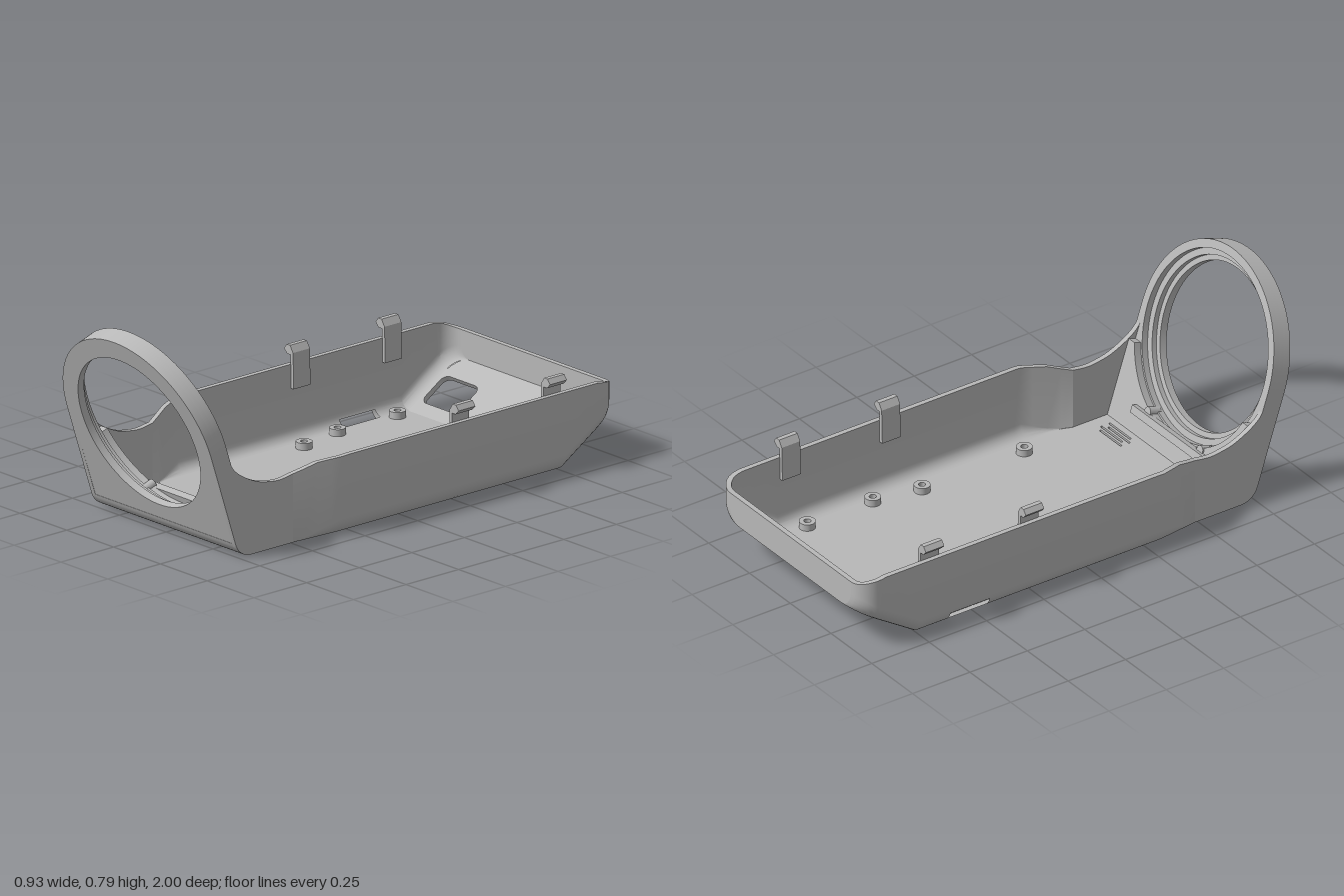
import * as THREE from 'three';
import { toCreasedNormals } from 'three/addons/utils/BufferGeometryUtils.js';

const T = 0.02;        // wall thickness
const LEAN = 0.322;    // forward lean of the ring plate
const SLOPE = Math.atan2(0.16, 0.25); // rising rear floor

const grey = new THREE.MeshStandardMaterial({ color: 0xb8b8b8, side: THREE.DoubleSide });
grey.name = 'grey plastic';

const V = (x, y) => new THREE.Vector2(x, y);

function add(parent, name, geometry, x = 0, y = 0, z = 0) {
  const mesh = new THREE.Mesh(geometry, grey);
  mesh.name = name;
  mesh.position.set(x, y, z);
  parent.add(mesh);
  return mesh;
}

function extrude(shape, depth, curveSegments = 12) {
  const g = new THREE.ExtrudeGeometry(shape, { depth, bevelEnabled: false, curveSegments });
  return toCreasedNormals(g, 0.3);
}

function circle(x, y, r) {
  return new THREE.Path().absarc(x, y, r, 0, Math.PI * 2, true);
}

function roundedRect(x0, y0, x1, y1, r) {
  const p = new THREE.Path();
  p.absarc(x0 + r, y0 + r, r, Math.PI, Math.PI * 1.5);
  p.absarc(x1 - r, y0 + r, r, Math.PI * 1.5, Math.PI * 2);
  p.absarc(x1 - r, y1 - r, r, 0, Math.PI / 2);
  p.absarc(x0 + r, y1 - r, r, Math.PI / 2, Math.PI);
  p.closePath();
  return p;
}

// Height of the rim and of the underside along the length
const rimPoints = [[-1, 0.276], [-0.96, 0.29], [-0.9, 0.3], [0.3, 0.3], [0.4, 0.288], [0.45, 0.27], [0.49, 0.257]];
function rimY(z) {
  let i = 0;
  while (i < rimPoints.length - 2 && z > rimPoints[i + 1][0]) i++;
  const [a, b] = [rimPoints[i], rimPoints[i + 1]];
  return THREE.MathUtils.mapLinear(z, a[0], b[0], a[1], b[1]);
}
const baseY = z => Math.max(0, (-0.75 - z) * 0.64);

// Half section from the inner floor edge up to the rim
function halfSection(z, w, r, base, top) {
  const pts = [];
  for (let i = 0; i <= 6; i++) {
    const a = (i / 6) * Math.PI / 2;
    pts.push(new THREE.Vector3(w - r + r * Math.sin(a), base + r - r * Math.cos(a), z));
  }
  pts.push(new THREE.Vector3(w, top, z));
  return pts;
}

// Stations along the tray: straight sides, then the rounded rear corners
function stations() {
  const list = [0.49, 0.45, 0.4, 0.35, 0.31, 0.28, -0.45, -0.62, -0.75, -0.85, -0.9].map(z => {
    const w = 0.385 + 0.065 * THREE.MathUtils.clamp((0.49 - z) / 0.18, 0, 1);
    return { zo: z, zi: z, wo: w, wi: w - T, r: Math.max(w - 0.385, 0.002) };
  });
  for (let i = 0; i <= 7; i++) {
    const a = (i / 7) * Math.PI / 2, c = Math.cos(a), s = Math.sin(a);
    list.push({ zo: -0.92 - 0.08 * s, zi: -0.92 - 0.06 * s, wo: 0.37 + 0.08 * c, wi: 0.37 + 0.06 * c, r: 0.065 });
  }
  return list.map(q => {
    const top = rimY(q.zo), bend = q.zi < -0.75 ? T / Math.cos(SLOPE) : T;
    const outer = halfSection(q.zo, q.wo, q.r, baseY(q.zo), top);
    const inner = halfSection(q.zi, q.wi, Math.max(q.r - T, 0.002), baseY(q.zi) + bend, top);
    return { outer, inner, z: q.zo };
  });
}

// Side wall lofted through the stations, outer face, rim and inner face
function wallGeometry(list, side) {
  const pos = [];
  const put = p => pos.push(p.x * side, p.y, p.z);
  const rows = list.map(s => [...s.outer, ...s.inner.slice().reverse()]);
  for (let i = 0; i < rows.length - 1; i++) {
    for (let j = 0; j < rows[i].length - 1; j++) {
      // Low slot in the right wall
      const slot = side < 0 && list[i].z === -0.45 && [2, 3, 4, 11, 12, 13].includes(j);
      if (slot) continue;
      const a = rows[i][j], b = rows[i][j + 1], c = rows[i + 1][j + 1], d = rows[i + 1][j];
      (side > 0 ? [a, d, c, a, c, b] : [a, c, d, a, b, c]).forEach(put);
    }
  }
  const g = new THREE.BufferGeometry();
  g.setAttribute('position', new THREE.Float32BufferAttribute(pos, 3));
  return toCreasedNormals(g, 0.4);
}

function buildTray(model) {
  const list = stations(), last = list[list.length - 1];
  for (const side of [1, -1]) add(model, side > 0 ? 'leftWall' : 'rightWall', wallGeometry(list, side));

  // Rear wall: outer face, inner face and rim
  for (const [name, half] of [['rearWallOuter', last.outer], ['rearWallInner', last.inner]]) {
    const pts = half.map(p => V(p.x, p.y));
    const outline = [...pts, ...pts.slice().reverse().map(p => V(-p.x, p.y))];
    const g = new THREE.ShapeGeometry(new THREE.Shape(outline));
    if (name === 'rearWallOuter') g.rotateY(Math.PI);
    add(model, name, g, 0, 0, half[0].z);
  }
  add(model, 'rearRim', new THREE.BoxGeometry(0.74, 0.004, T), 0, 0.274, -0.99);

  // Flat floor with screw holes and vent slots
  const screws = [[0.36, -0.67], [0.36, -0.385], [0.325, -0.195], [0.325, 0.25]];
  const floor = new THREE.Shape([V(-0.385, -0.64), V(0.385, -0.64), V(0.385, 0.75), V(-0.385, 0.75)]);
  const boss = new THREE.Shape().absarc(0, 0, 0.03, 0, Math.PI * 2);
  boss.holes.push(circle(0, 0, 0.013));
  const bossGeometry = extrude(boss, 0.028).rotateX(-Math.PI / 2);
  for (const side of [1, -1]) {
    for (const [x, z] of screws) {
      floor.holes.push(circle(x * side, -z, 0.013));
      add(model, 'screwBoss', bossGeometry, x * side, T - 0.002, z);
    }
    for (let i = 0; i < 4; i++) {
      const x = 0.235 * side + (i % 2 ? 0.012 : -0.008), z = 0.557 + i * 0.018;
      floor.holes.push(roundedRect(x - 0.065, -z - 0.004, x + 0.065, -z + 0.004, 0.0035));
    }
  }
  add(model, 'floor', extrude(floor, T)).rotation.x = -Math.PI / 2;

  // Rising rear floor with a cable window
  const k = 1 / Math.cos(SLOPE), edge = [V(0.385, 0)];
  for (let i = 0; i <= 7; i++) {
    const a = (i / 7) * Math.PI / 2;
    edge.push(V(0.305 + 0.08 * Math.cos(a), (0.17 + 0.08 * Math.sin(a)) * k));
  }
  const ramp = new THREE.Shape([...edge, ...edge.slice().reverse().map(p => V(-p.x, p.y))]);
  ramp.holes.push(roundedRect(-0.37, 0.05 * k, -0.18, 0.165 * k, 0.03));
  add(model, 'rearRamp', extrude(ramp, T), 0, 0, -0.75).rotation.x = SLOPE - Math.PI / 2;
}

// Rounded lower front edge, in (z, y)
function frontArc() {
  return Array.from({ length: 9 }, (_, i) => {
    const a = -Math.PI / 2 + (i / 8) * (Math.PI / 2 - LEAN);
    return V(0.69 + 0.076 * Math.cos(a), 0.076 + 0.076 * Math.sin(a));
  });
}

function buildFront(model) {
  // Low front edge and the narrow cheeks that sweep up to the ring
  const toe = new THREE.Shape([V(0.64, 0), ...frontArc(), V(0.667, 0.085), V(0.64, T)]);
  add(model, 'frontEdge', extrude(toe, 0.77), 0.385).rotation.y = -Math.PI / 2;
  const cheek = new THREE.Shape([V(0.49, 0), ...frontArc(), V(0.8777, 0.402), V(0.795, 0.385)]);
  cheek.splineThru([V(0.775, 0.34), V(0.73, 0.302), V(0.66, 0.267), V(0.6, 0.253), V(0.55, 0.249), V(0.49, 0.257)]);
  const cheekGeometry = extrude(cheek, T, 24);
  for (const x of [0.385, -0.385 + T]) add(model, 'cheek', cheekGeometry, x).rotation.y = -Math.PI / 2;

  // Leaning ring plate, with a bore stepped wider towards the back
  const plate = new THREE.Group();
  plate.name = 'ringPlate';
  plate.position.set(0, 0.402, 0.878);
  plate.rotation.x = LEAN;
  model.add(plate);
  for (const [back, depth, r] of [[-0.03, 0.03, 0.308], [-0.05, 0.02, 0.328], [-0.075, 0.025, 0.353]]) {
    const s = new THREE.Shape();
    s.moveTo(-0.385, -0.369).lineTo(0.385, -0.369).lineTo(0.385, 0);
    s.absarc(0, 0, 0.385, 0, Math.PI);
    s.closePath();
    s.holes.push(circle(0, 0, r));
    add(plate, 'ringLayer', extrude(s, depth, 48), 0, 0, back);
  }
  // Thick lower backing around the bore
  const backing = new THREE.Shape();
  backing.moveTo(-0.37, -0.43).lineTo(0.37, -0.43).lineTo(0.37, -0.14);
  backing.absarc(0, 0, 0.36, -0.4, -Math.PI + 0.4, true);
  backing.lineTo(-0.37, -0.14);
  backing.closePath();
  add(plate, 'ringBacking', extrude(backing, 0.03, 32), 0, 0, -0.105);
  // Retaining bar and its screw posts
  add(plate, 'retainingBar', new THREE.BoxGeometry(0.46, 0.03, 0.028), 0, -0.35, -0.112);
  const post = new THREE.CylinderGeometry(0.018, 0.018, 0.05, 16).rotateX(Math.PI / 2);
  for (const x of [-0.16, 0.16]) add(plate, 'screwPost', post, x, -0.33, -0.085);
}

// Snap hooks standing on the side walls
function buildClips(model) {
  const hook = new THREE.Shape([V(0.414, 0.21), V(0.432, 0.21), V(0.432, 0.335), V(0.45, 0.335),
    V(0.466, 0.352), V(0.452, 0.37), V(0.434, 0.37), V(0.418, 0.345)]);
  const g = extrude(hook, 0.08);
  for (const z of [-0.7, -0.265]) {
    add(model, 'leftClip', g, 0, 0, z - 0.04);
    add(model, 'rightClip', g, 0, 0, z + 0.04).rotation.y = Math.PI;
  }
}

export function createModel() {
  const model = new THREE.Group();
  model.name = 'trayWithRing';
  buildTray(model);
  buildFront(model);
  buildClips(model);
  return model;
}
